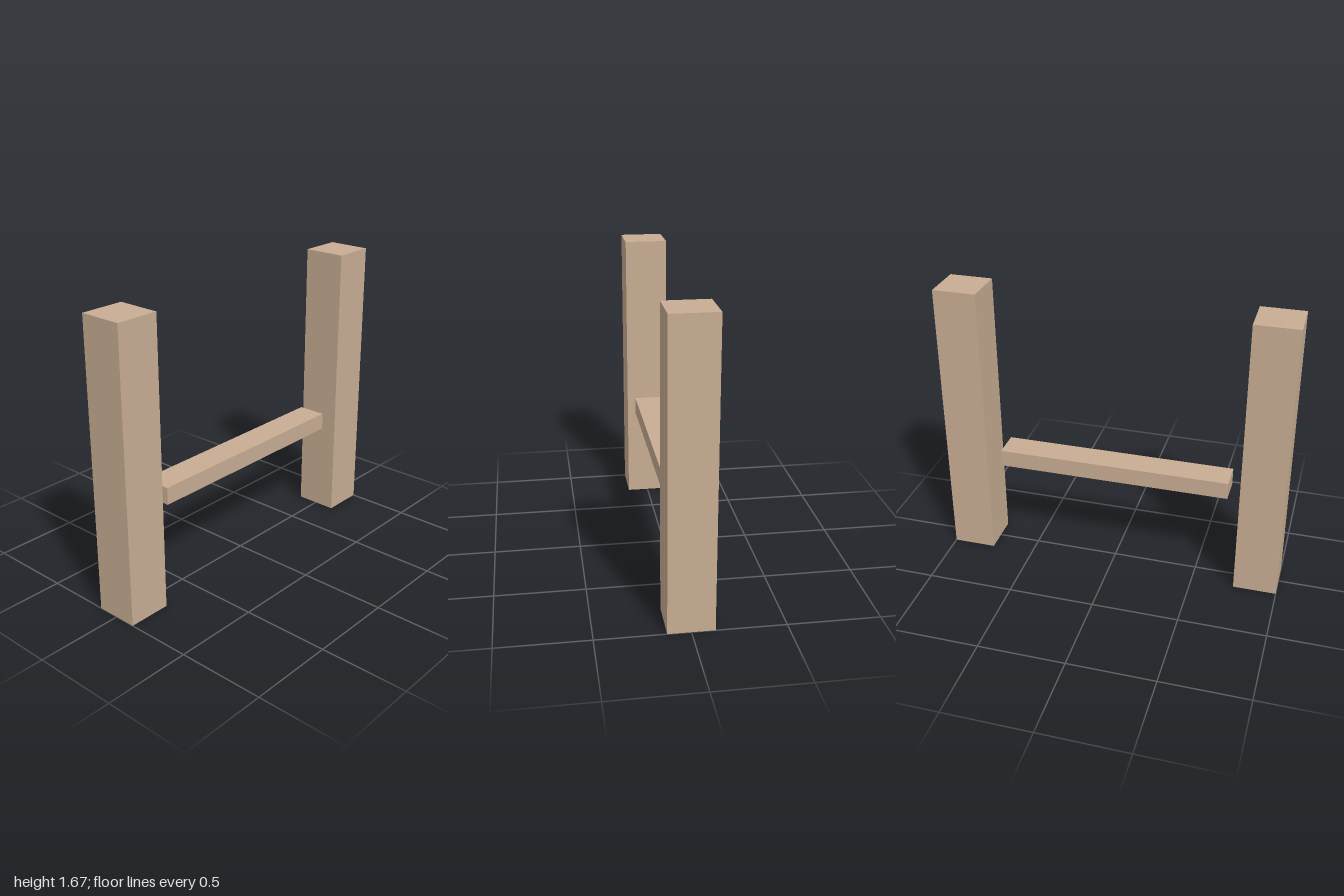
import * as THREE from 'three';

export function createModel() {
  const group = new THREE.Group();
  const wood = new THREE.MeshStandardMaterial({ color: 0xc8ad93, flatShading: true });

  const addBox = (name, width, height, depth, x, bottom) => {
    const mesh = new THREE.Mesh(new THREE.BoxGeometry(width, height, depth), wood);
    mesh.name = name;
    mesh.position.set(x, bottom + height / 2, 0);
    group.add(mesh);
  };

  // Two square upright posts
  for (const [name, side] of [['leftPost', 1], ['rightPost', -1]]) {
    addBox(name, 0.25, 1.667, 0.25, side * 0.875, 0);
  }

  // Crossbar between the posts, with a small gap at each end
  addBox('crossbar', 1.353, 0.1, 0.167, 0, 0.577);

  return group;
}
